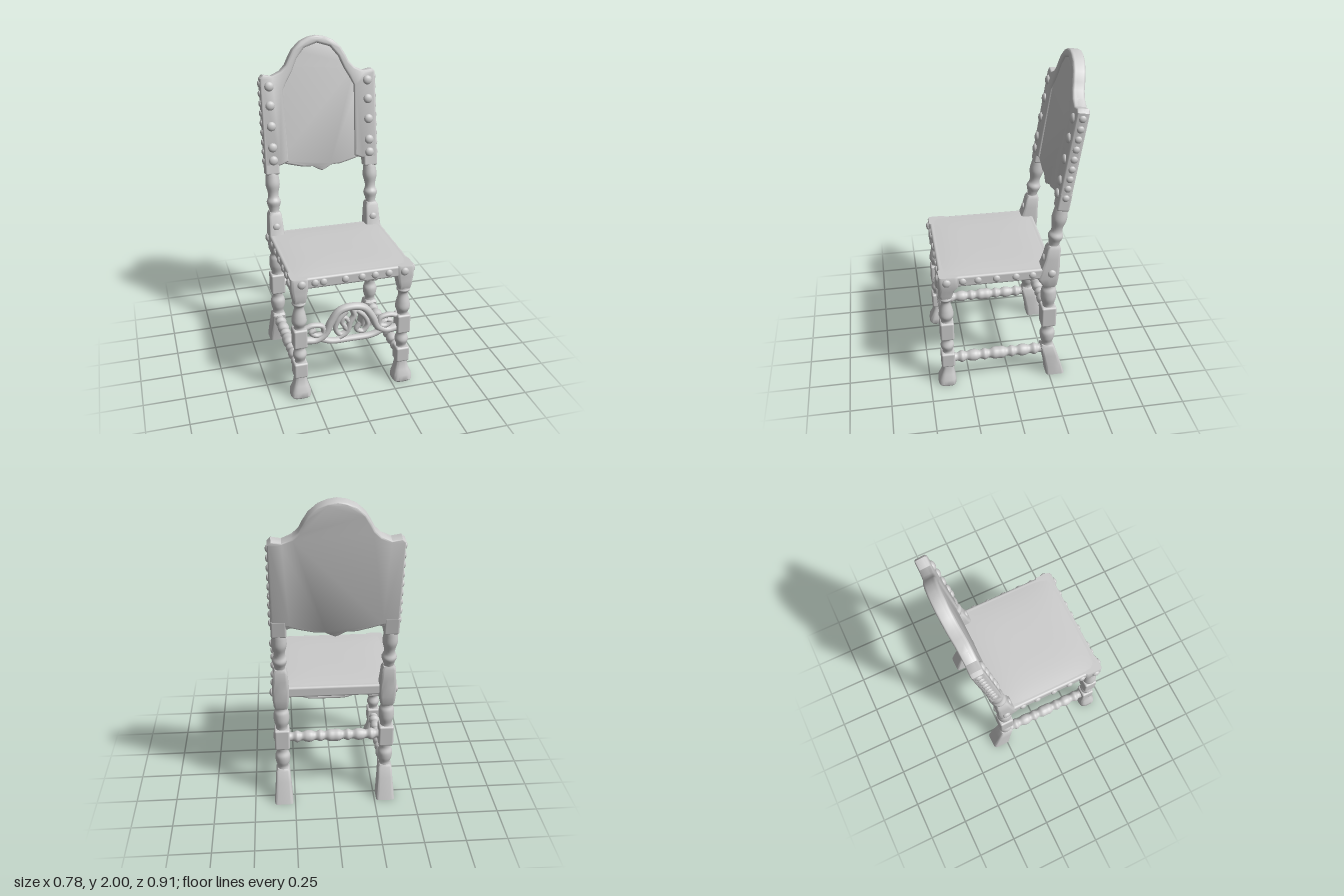
import * as THREE from 'three';
import { toCreasedNormals } from 'three/addons/utils/BufferGeometryUtils.js';
import { RoundedBoxGeometry } from 'three/addons/geometries/RoundedBoxGeometry.js';

const mat = new THREE.MeshStandardMaterial({ color: 0xcccccc, side: THREE.DoubleSide });
const V = (x, y, z) => new THREE.Vector3(x, y, z);

function add(parent, name, geo, x = 0, y = 0, z = 0) {
  const m = new THREE.Mesh(geo, mat);
  m.name = name;
  m.position.set(x, y, z);
  parent.add(m);
  return m;
}

// Smooth turned profile from [height, radius] points
function turned(points) {
  const curve = new THREE.SplineCurve(points.map(([y, r]) => new THREE.Vector2(r, y)));
  return new THREE.LatheGeometry(curve.getPoints(points.length * 5), 20);
}

// Rounded-square post from sections [y, cx, cz, halfX, halfZ]
function loft(sections, power = 0.35, n = 28) {
  const pos = [], idx = [];
  const se = (v) => Math.sign(v) * Math.pow(Math.abs(v), power);
  for (const [y, cx, cz, hx, hz] of sections)
    for (let i = 0; i < n; i++) {
      const a = (i / n) * Math.PI * 2;
      pos.push(cx + hx * se(Math.cos(a)), y, cz + hz * se(Math.sin(a)));
    }
  const rows = sections.length;
  for (let j = 0; j < rows - 1; j++)
    for (let i = 0; i < n; i++) {
      const a = j * n + i, b = j * n + (i + 1) % n;
      idx.push(a, a + n, b, b, a + n, b + n);
    }
  for (let i = 1; i < n - 1; i++) {
    const t = (rows - 1) * n;
    idx.push(0, i, i + 1, t, t + i + 1, t + i);
  }
  const g = new THREE.BufferGeometry();
  g.setAttribute('position', new THREE.Float32BufferAttribute(pos, 3));
  g.setIndex(idx);
  g.computeVertexNormals();
  return toCreasedNormals(g, 0.7);
}

// Bevelled plate between two z values
function plate(shape, z0, z1, bevel) {
  const g = new THREE.ExtrudeGeometry(shape, {
    depth: z1 - z0 - 2 * bevel, bevelSize: bevel, bevelThickness: bevel, bevelOffset: -bevel, bevelSegments: 4, curveSegments: 10
  });
  g.translate(0, 0, z0 + bevel);
  return toCreasedNormals(g, 0.6);
}

// Domed nail head, flattened along the given axis
function nail(parent, x, y, z, axis, r = 0.025) {
  const m = add(parent, 'nailHead', new THREE.SphereGeometry(r, 14, 10), x, y, z);
  m.scale[axis] = 0.6;
}

function block(parent, name, x, y0, y1, z, w, d = w) {
  add(parent, name, new RoundedBoxGeometry(w, y1 - y0, d, 3, 0.012), x, (y0 + y1) / 2, z);
}

function frontLeg(s) {
  const g = new THREE.Group(), x = s * 0.32, z = 0.385;
  g.name = 'frontLeg';
  add(g, 'foot', loft([
    [0, s * 0.323, 0.392, 0.054, 0.05], [0.012, s * 0.323, 0.394, 0.062, 0.056],
    [0.045, s * 0.322, 0.393, 0.06, 0.054], [0.08, s * 0.32, 0.388, 0.046, 0.042],
    [0.12, x, z, 0.037, 0.034], [0.15, x, z, 0.036, 0.034]], 0.6));
  block(g, 'lowerBlock', x, 0.135, 0.235, z, 0.084);
  add(g, 'lowerTurning', turned([[0.225, 0.036], [0.245, 0.03], [0.285, 0.042], [0.325, 0.03], [0.35, 0.037]]), x, 0, z);
  block(g, 'middleBlock', x, 0.34, 0.465, z, 0.084);
  add(g, 'upperTurning', turned([[0.455, 0.037], [0.475, 0.032], [0.51, 0.045], [0.55, 0.04],
    [0.595, 0.029], [0.615, 0.031], [0.63, 0.041], [0.645, 0.037], [0.67, 0.04]]), x, 0, z);
  add(g, 'topBracket', loft([[0.645, x, z, 0.036, 0.035], [0.67, x, z, 0.042, 0.042], [0.7, x, 0.38, 0.046, 0.046],
    [0.73, x, 0.367, 0.054, 0.06], [0.79, x, 0.367, 0.054, 0.06], [0.8, x, 0.367, 0.05, 0.056]]));
  nail(g, s * 0.31, 0.767, 0.427, 'z');
  nail(g, s * 0.374, 0.767, 0.38, 'x');
  return g;
}

function backLeg(s) {
  const g = new THREE.Group(), x = s * 0.32, z = -0.24;
  g.name = 'backLeg';
  add(g, 'rakedFoot', loft([[0, x, -0.29, 0.058, 0.058], [0.06, x, -0.278, 0.054, 0.053],
    [0.14, x, -0.257, 0.047, 0.048], [0.205, x, z, 0.043, 0.043], [0.22, x, z, 0.034, 0.034]], 0.3));
  add(g, 'lowerTurning', turned([[0.21, 0.037], [0.235, 0.034], [0.27, 0.044], [0.31, 0.046], [0.345, 0.034], [0.385, 0.038]]), x, 0, z);
  block(g, 'middleBlock', x, 0.37, 0.51, z, 0.092);
  add(g, 'upperTurning', turned([[0.5, 0.036], [0.525, 0.036], [0.57, 0.047], [0.62, 0.046], [0.65, 0.036], [0.68, 0.04]]), x, 0, z);
  add(g, 'seatBlock', loft([[0.66, x, z, 0.036, 0.036], [0.68, x, -0.238, 0.044, 0.046], [0.73, x, -0.225, 0.05, 0.066],
    [0.8, x, -0.24, 0.05, 0.056], [0.86, x, -0.25, 0.046, 0.046], [0.92, x, -0.259, 0.042, 0.041], [0.94, x, -0.262, 0.032, 0.032]], 0.3));
  nail(g, x, 0.85, -0.206, 'z');
  nail(g, s * 0.371, 0.767, -0.245, 'x');
  return g;
}

// Carved rail: banded arch, side scrolls and an inner leaf
function carvedRail() {
  const g = new THREE.Group();
  g.name = 'carvedFrontRail';
  g.position.z = 0.385;
  const band = (name, pts, r) => {
    const c = new THREE.CatmullRomCurve3(pts.map(([x, y]) => V(x, y, 0)));
    add(g, name, new THREE.TubeGeometry(c, 48, r, 10)).scale.z = 1.2;
  };
  band('archBand', [[-0.28, 0.37], [-0.22, 0.365], [-0.165, 0.395], [-0.125, 0.475], [-0.075, 0.54], [0, 0.558],
    [0.075, 0.54], [0.125, 0.475], [0.165, 0.395], [0.22, 0.365], [0.28, 0.37]], 0.023);
  band('lowerBand', [[-0.2, 0.372], [-0.13, 0.344], [0, 0.34], [0.13, 0.344], [0.2, 0.372]], 0.019);
  for (const s of [-1, 1]) {
    band('sideScroll', [[0.29, 0.45], [0.24, 0.465], [0.18, 0.45], [0.175, 0.405], [0.22, 0.395],
      [0.25, 0.42], [0.22, 0.435]].map(([x, y]) => [s * x, y]), 0.016);
    band('innerScroll', [[0.03, 0.53], [0.08, 0.48], [0.1, 0.42], [0.07, 0.38], [0.03, 0.4],
      [0.05, 0.435]].map(([x, y]) => [s * x, y]), 0.015);
  }
  band('leafStem', [[-0.08, 0.36], [-0.03, 0.39], [-0.01, 0.45], [0.015, 0.5], [0.0, 0.55]], 0.018);
  band('leaf', [[-0.01, 0.45], [-0.045, 0.49], [-0.06, 0.46], [-0.035, 0.42]], 0.014);
  return g;
}

// Beaded stretcher of a given length, lying along y
function stretcher(len) {
  const h = len / 2, pts = [];
  const radii = [0.033, 0.026, 0.037, 0.026, 0.035, 0.036, 0.026, 0.036, 0.026, 0.037, 0.037];
  const full = [...radii, ...radii.slice(0, -1).reverse()];
  full.forEach((r, i) => pts.push([-h + (i / (full.length - 1)) * len, r]));
  return turned(pts);
}

// Upright back; its group leans backward
function chairBack() {
  const g = new THREE.Group();
  g.name = 'back';
  g.position.set(0, 0.9, -0.255);
  g.rotation.x = -0.154;
  const Y = (y) => (y - 0.9) * 1.012;
  const half = [[0.365, 1.765], [0.345, 1.785], [0.29, 1.775], [0.235, 1.8], [0.2, 1.835], [0.18, 1.875],
    [0.15, 1.925], [0.1, 1.97], [0.05, 1.992], [0, 2.0]];
  const top = [...half, ...half.slice(0, -1).reverse().map(([x, y]) => [-x, y])];
  const inner = [[0.215, 1.25], [0.225, 1.69], [0.195, 1.745], [0.165, 1.795], [0.13, 1.87], [0.08, 1.93], [0, 1.955]];
  const shape = (pts) => new THREE.Shape(pts.map(([x, y]) => new THREE.Vector2(x, Y(y))));
  // Panel with a shaped lower edge
  const low = [[0.27, 1.245], [0.2, 1.225], [0.12, 1.205], [0.06, 1.203], [0.03, 1.185]];
  add(g, 'backPanel', plate(shape([...low.slice().reverse(), [0.27, 1.25], [0.36, 1.25], ...top, [-0.36, 1.25],
    ...low.map(([x, y]) => [-x, y]), [0, 1.172]]), -0.036, 0.026, 0.012));
  // Raised border around the panel
  add(g, 'backBorder', plate(shape([[0.265, 1.23], [0.365, 1.23], ...top, [-0.365, 1.23], [-0.265, 1.23],
    ...inner.map(([x, y]) => [-x, y]), ...inner.slice(0, -1).reverse()]), -0.034, 0.038, 0.014));
  for (const s of [-1, 1]) {
    const x = s * 0.32;
    add(g, 'postTurning', turned([[Y(0.92), 0.036], [Y(0.94), 0.031], [Y(0.965), 0.035], [Y(1.0), 0.045], [Y(1.03), 0.034],
      [Y(1.06), 0.034], [Y(1.11), 0.045], [Y(1.16), 0.041], [Y(1.19), 0.036]]), x, 0, 0);
    block(g, 'postBlock', x, Y(1.175), Y(1.29), 0, 0.09, 0.074);
    for (const y of [1.265, 1.345, 1.475, 1.6, 1.715]) nail(g, s * 0.312, Y(y), 0.038, 'z', 0.029);
    for (let i = 0; i < 9; i++) nail(g, s * 0.364, Y(1.26 + i * 0.059), 0, 'x', 0.021);
  }
  return g;
}

export function createModel() {
  const chair = new THREE.Group();
  chair.name = 'chair';

  // Seat with a gently domed top
  const seat = new THREE.Group();
  seat.name = 'seat';
  chair.add(seat);
  add(seat, 'seatFrame', new RoundedBoxGeometry(0.735, 0.07, 0.68, 3, 0.014), 0, 0.765, 0.08);
  const dome = new THREE.PlaneGeometry(0.71, 0.65, 20, 20).rotateX(-Math.PI / 2);
  const p = dome.attributes.position;
  for (let i = 0; i < p.count; i++) {
    const u = 1 - (p.getX(i) / 0.355) ** 4, v = 1 - (p.getZ(i) / 0.325) ** 4;
    p.setY(i, 0.01 * u * v);
  }
  dome.computeVertexNormals();
  add(seat, 'seatTop', dome, 0, 0.799, 0.08);
  for (const x of [-0.23, -0.18, -0.05, 0.05, 0.13, 0.215]) nail(seat, x, 0.767, 0.42, 'z', 0.022);

  for (const s of [-1, 1]) {
    chair.add(frontLeg(s), backLeg(s));
    for (const z of [0.285, 0.195, 0.085, -0.03, -0.13]) nail(seat, s * 0.367, 0.767, z, 'x', 0.022);
    add(chair, 'sideStretcher', stretcher(0.57), s * 0.32, 0.18, 0.07).rotation.x = Math.PI / 2;
  }
  add(chair, 'backStretcher', stretcher(0.57), 0, 0.44, -0.24).rotation.z = Math.PI / 2;
  chair.add(carvedRail(), chairBack());
  return chair;
}
